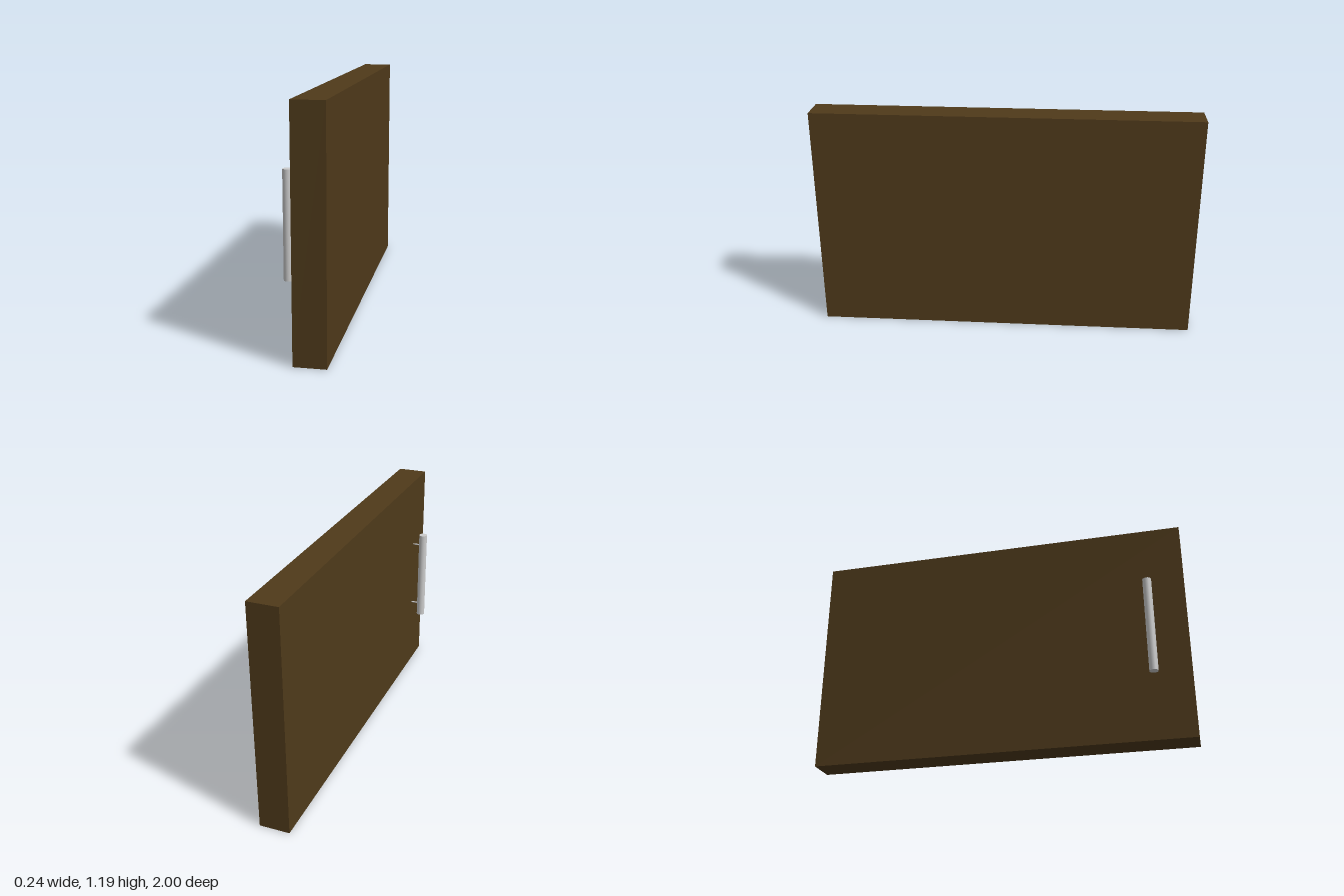
import * as THREE from 'three';

export function createModel() {
  const group = new THREE.Group();
  const wood = new THREE.MeshStandardMaterial({ color: 0x4f3a1a });
  const metal = new THREE.MeshStandardMaterial({ color: 0xcccccc });

  const add = (name, geometry, material, x, y, z) => {
    const mesh = new THREE.Mesh(geometry, material);
    mesh.name = name;
    mesh.position.set(x, y, z);
    group.add(mesh);
    return mesh;
  };

  // Solid door slab
  const height = 1.19, doorLeft = 0.118, doorRight = -0.039;
  add('doorPanel', new THREE.BoxGeometry(doorLeft - doorRight, height, 2), wood,
    (doorLeft + doorRight) / 2, height / 2, 0);

  // Upright pull bar
  const barX = -0.098, barZ = 0.812;
  add('handleBar', new THREE.CylinderGeometry(0.023, 0.023, 0.52, 32), metal, barX, 0.6, barZ);

  // Thin posts joining the bar to the door
  for (const y of [0.41, 0.795]) {
    const post = add('handlePost', new THREE.CylinderGeometry(0.004, 0.004, doorRight - barX, 16),
      metal, (barX + doorRight) / 2, y, barZ);
    post.rotation.z = Math.PI / 2;
  }

  return group;
}
